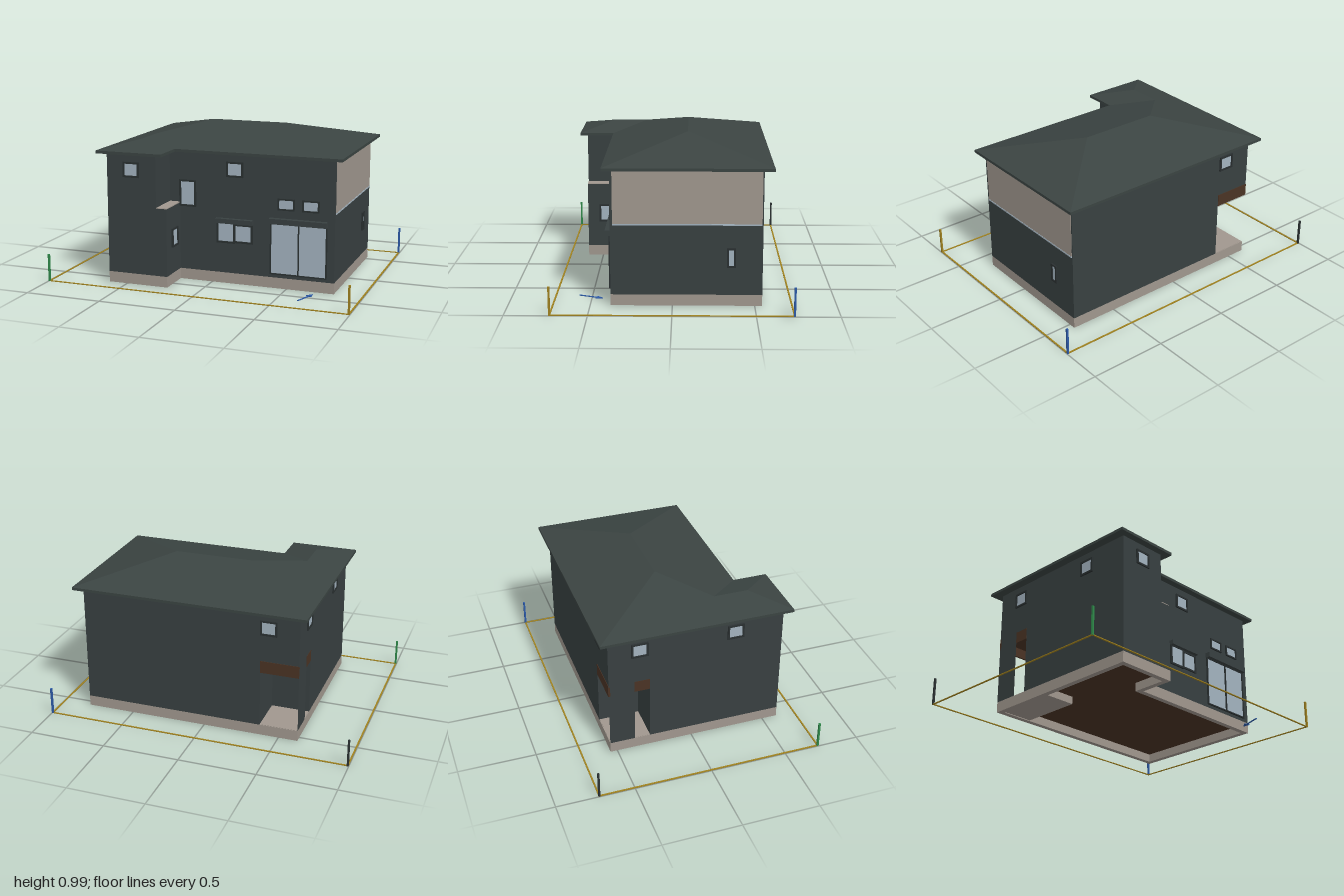
import * as THREE from 'three';

const mat = (name, color) => {
  const m = new THREE.MeshStandardMaterial({ color });
  m.name = name;
  return m;
};

export function createModel() {
  const wall = mat('charcoal wall', 0x384041);
  const roofMat = mat('roof slate', 0x3b4442);
  const pale = mat('warm grey render', 0xa0978e);
  const glass = mat('window glass', 0xa3b3bf);
  const trim = mat('dark trim', 0x2a3031);
  const brown = mat('brown timber', 0x4a3324);
  const gold = mat('boundary gold', 0xa08220);
  const green = mat('marker green', 0x2f8a4a);
  const blue = mat('marker blue', 0x2c5aa8);

  const model = new THREE.Group();
  model.name = 'house';
  const add = (name, geo, material, parent = model) => {
    const m = new THREE.Mesh(geo, material);
    m.name = name;
    parent.add(m);
    return m;
  };
  // Box given by its lower and upper limits
  const box = (name, material, x0, x1, y0, y1, z0, z1) =>
    add(name, new THREE.BoxGeometry(x1 - x0, y1 - y0, z1 - z0), material)
      .position.set((x0 + x1) / 2, (y0 + y1) / 2, (z0 + z1) / 2);
  // Plan outline (x, z) raised from y0 to y1
  const toVec = (pts) => pts.map(([x, z]) => new THREE.Vector2(x, -z));
  const raise = (name, material, pts, y0, y1, hole) => {
    const s = new THREE.Shape(toVec(pts));
    if (hole) s.holes.push(new THREE.Path(toVec(hole)));
    const g = new THREE.ExtrudeGeometry(s, { depth: y1 - y0, bevelEnabled: false });
    g.rotateX(-Math.PI / 2);
    g.translate(0, y0, 0);
    return add(name, g, material);
  };

  // Footprint inset by d; wx is the right side of the front wing
  const plan = (d, wx) => [
    [-0.625 + d, 0.6 - d], [wx - d, 0.6 - d], [wx - d, 0.375 - d],
    [0.81 - d, 0.375 - d], [0.81 - d, -0.545 + d], [-0.625 + d, -0.545 + d],
  ];

  // Foundation ring and floor
  raise('foundation', pale, plan(0, -0.22), 0, 0.07, plan(0.035, -0.22));
  raise('groundFloor', brown, plan(0.03, -0.22), 0.055, 0.068);

  // Lower storey with the porch notch, upper storey
  const lower = plan(0, -0.22).slice(0, 5);
  lower.push([-0.375, -0.545], [-0.375, -0.28], [-0.625, -0.28]);
  raise('lowerWalls', wall, lower, 0.07, 0.51);
  raise('upperWalls', wall, plan(0, -0.29), 0.51, 0.848);
  box('wingLedge', pale, -0.292, -0.22, 0.508, 0.514, 0.375, 0.6);

  // Porch in the back corner
  box('porchSlab', pale, -0.622, -0.375, 0.005, 0.072, -0.542, -0.1);
  box('porchCeiling', brown, -0.622, -0.375, 0.502, 0.509, -0.542, -0.28);
  box('porchBeam', brown, -0.625, -0.375, 0.44, 0.52, -0.548, -0.535);
  box('porchSideBeam', brown, -0.627, -0.615, 0.44, 0.515, -0.38, -0.28);
  const screen = add('porchScreen', new THREE.PlaneGeometry(0.165, 0.44), wall);
  screen.rotation.y = -Math.PI / 2;
  screen.position.set(-0.625, 0.29, -0.4625);

  // Pale cladding on the right gable side
  box('sideCladding', pale, 0.806, 0.813, 0.515, 0.848, -0.538, 0.36);
  box('claddingFlashing', glass, 0.806, 0.815, 0.506, 0.515, -0.538, 0.36);

  // Windows: u runs along the wall, turn is the facing direction
  const pane = (name, facing, at, u0, u1, y0, y1, rim = 0.012) => {
    const g = new THREE.Group();
    g.name = name;
    const w = u1 - u0, h = y1 - y0, u = (u0 + u1) / 2, y = (y0 + y1) / 2;
    // Four frame bars around the glass
    for (const s of [-1, 1]) {
      add('frameRail', new THREE.BoxGeometry(w + 2 * rim, rim, 0.02), trim, g)
        .position.y = s * (h + rim) / 2;
      add('frameStile', new THREE.BoxGeometry(rim, h, 0.02), trim, g)
        .position.x = s * (w + rim) / 2;
    }
    add('glass', new THREE.BoxGeometry(w, h, 0.008), glass, g);
    g.rotation.y = { front: 0, right: Math.PI / 2, back: Math.PI, left: -Math.PI / 2 }[facing];
    if (facing === 'front' || facing === 'back') g.position.set(u, y, at);
    else g.position.set(at, y, u);
    model.add(g);
  };
  pane('wingUpperWindow', 'front', 0.6, -0.5, -0.415, 0.71, 0.785);
  pane('stairWindow', 'front', 0.375, -0.21, -0.12, 0.5, 0.65);
  pane('upperWindow', 'front', 0.375, 0.11, 0.2, 0.71, 0.785);
  for (const x of [0.45, 0.61]) pane('slotWindow', 'front', 0.375, x, x + 0.09, 0.52, 0.575, 0.01);
  pane('slidingWindowPane', 'front', 0.377, 0.045, 0.147, 0.28, 0.395);
  pane('slidingWindowPane', 'front', 0.375, 0.162, 0.265, 0.285, 0.385);
  pane('patioDoorPane', 'front', 0.375, 0.4, 0.575, 0.1, 0.42, 0.008);
  pane('patioDoorPane', 'front', 0.377, 0.583, 0.755, 0.1, 0.42, 0.008);
  pane('wingSideWindow', 'right', -0.22, 0.44, 0.51, 0.255, 0.355);
  pane('sideWindow', 'right', 0.81, -0.37, -0.34, 0.255, 0.355);
  pane('backWindow', 'back', -0.545, -0.47, -0.385, 0.71, 0.785);
  pane('leftWindow', 'left', -0.625, -0.385, -0.3, 0.71, 0.785);
  pane('leftWindow', 'left', -0.625, 0.24, 0.325, 0.71, 0.785);
  box('windowShutterBox', wall, 0.032, 0.28, 0.4, 0.43, 0.37, 0.405);
  box('doorShutterBox', wall, 0.39, 0.765, 0.424, 0.458, 0.37, 0.41);

  // Roof: slabs at the eaves, hips above
  const eave = 0.864, slope = 0.246;
  raise('eaves', roofMat, [
    [-0.68, 0.645], [-0.235, 0.645], [-0.235, 0.42],
    [0.86, 0.42], [0.86, -0.605], [-0.68, -0.605],
  ], 0.846, eave);
  const surface = (name, faces) => {
    const tris = faces.flatMap((f) => f.slice(2).flatMap((p, i) => [f[0], f[i + 1], p])).flat();
    const g = new THREE.BufferGeometry();
    g.setAttribute('position', new THREE.Float32BufferAttribute(tris, 3));
    g.computeVertexNormals();
    add(name, g, roofMat);
  };
  {
    const x0 = -0.68, x1 = 0.86, z0 = -0.605, z1 = 0.42, r = (z1 - z0) / 2;
    const a = [x0, eave, z1], b = [x1, eave, z1], c = [x1, eave, z0], d = [x0, eave, z0];
    const p = [x0 + r, eave + r * slope, z0 + r], q = [x1 - r, eave + r * slope, z0 + r];
    surface('mainRoof', [[a, b, q, p], [b, c, q], [c, d, p, q], [d, a, p]]);
  }
  {
    const x0 = -0.68, x1 = -0.235, z1 = 0.645, r = (x1 - x0) / 2, zb = 0.42 - r;
    const a = [x0, eave, z1], b = [x1, eave, z1], c = [x1, eave, zb], d = [x0, eave, zb];
    const p = [x0 + r, eave + r * slope, z1 - r], q = [x0 + r, eave + r * slope, zb];
    surface('wingRoof', [[a, b, p], [b, c, q, p], [d, a, p, q]]);
  }

  // Plot boundary lines and corner posts
  for (const s of [-1, 1]) {
    box('boundaryLine', gold, -1, 1, 0, 0.005, s * 0.727 - 0.005, s * 0.727 + 0.005);
    box('boundaryLine', gold, s * 0.994 - 0.005, s * 0.994 + 0.005, 0, 0.005, -0.73, 0.73);
  }
  for (const [x, z, m] of [[-1, 1, green], [1, 1, gold], [1, -1, blue], [-1, -1, trim]])
    box('cornerPost', m, x * 0.994 - 0.006, x * 0.994 + 0.006, 0, 0.18, z * 0.727 - 0.006, z * 0.727 + 0.006);

  // Ground arrow pointing at the house
  const arrow = raise('groundArrow', blue, [
    [-0.004, 0.16], [0.004, 0.16], [0.004, 0.045], [0.02, 0.045],
    [0, 0], [-0.02, 0.045], [-0.004, 0.045],
  ], 0, 0.005);
  arrow.position.set(0.69, 0, 0.43);
  arrow.rotation.y = -0.34;

  return model;
}
